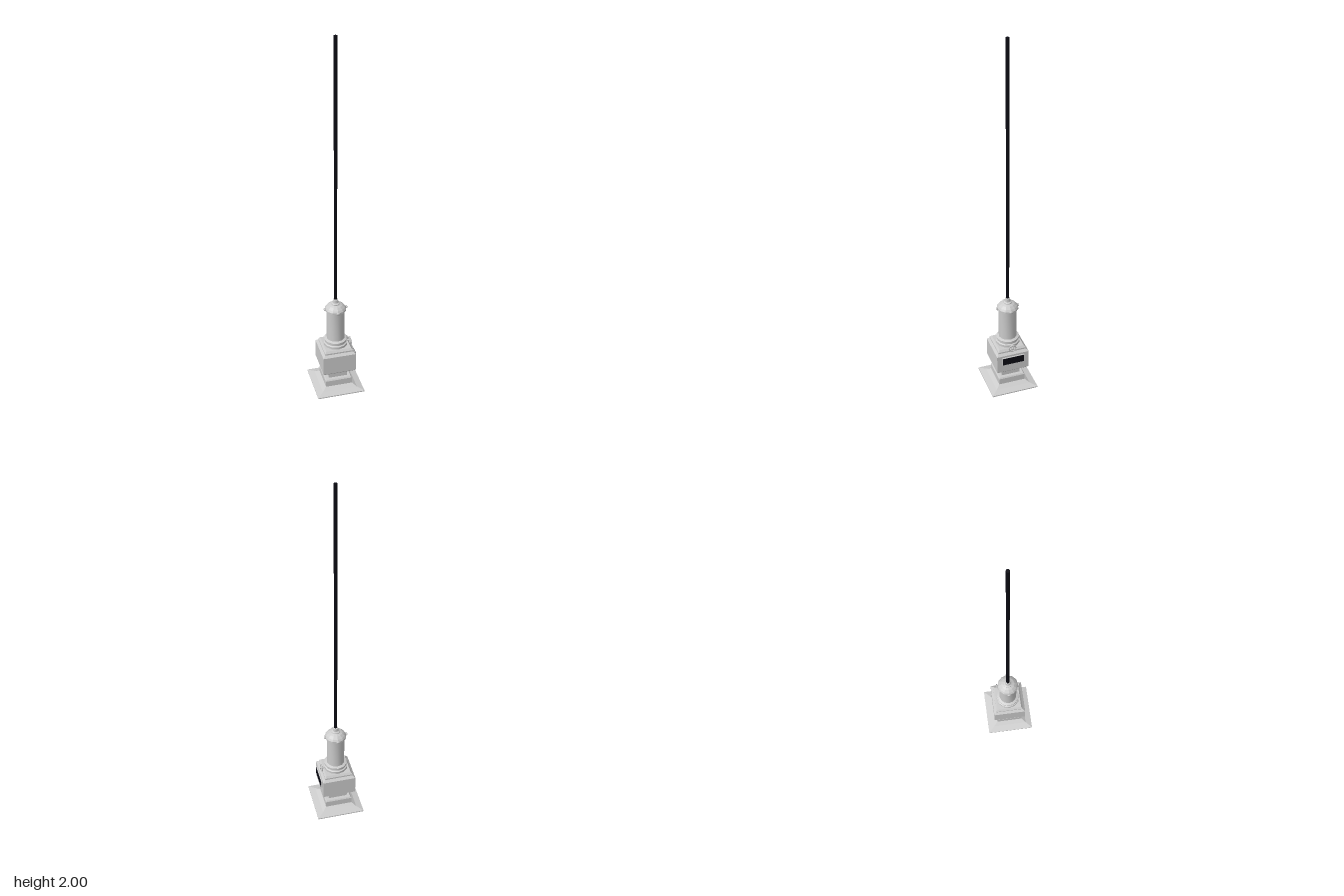
import * as THREE from 'three';
import { toCreasedNormals } from 'three/addons/utils/BufferGeometryUtils.js';

const grey = new THREE.MeshStandardMaterial({ color: 0xcccccc });
const flatGrey = new THREE.MeshStandardMaterial({ color: 0xcccccc, flatShading: true });
const black = new THREE.MeshStandardMaterial({ color: 0x0a0a12 });

export function createModel() {
  const model = new THREE.Group();

  function add(name, geometry, material = grey, x = 0, y = 0, z = 0, parent = model) {
    const mesh = new THREE.Mesh(geometry, material);
    mesh.name = name;
    mesh.position.set(x, y, z);
    parent.add(mesh);
    return mesh;
  }

  // Revolved profile of [radius, height] points
  const turned = (profile, sides) =>
    new THREE.LatheGeometry(profile.map(([r, y]) => new THREE.Vector2(r, y)), sides);

  // Square section through [half width, height] points
  const square = (profile) =>
    turned(profile.map(([h, y]) => [h * Math.SQRT2, y]), 4).rotateY(Math.PI / 4);

  // Sloped foot, plinth and neck
  add('foot', square([[0, 0], [0.133, 0], [0.133, 0.006], [0.098, 0.015], [0.075, 0.03], [0, 0.03]]), flatGrey);
  add('plinth', square([[0.075, 0.028], [0.075, 0.065], [0.07, 0.072], [0, 0.072]]), flatGrey);
  add('neck', square([[0.053, 0.07], [0.053, 0.106], [0.066, 0.114], [0.066, 0.122]]), flatGrey);

  // Square housing with bevelled edges and stepped lid
  add('housing', square([[0, 0.118], [0.08, 0.118], [0.092, 0.13], [0.092, 0.236], [0.079, 0.248], [0, 0.248]]), flatGrey);
  add('housingLid', square([[0.079, 0.246], [0.079, 0.256], [0.07, 0.267], [0, 0.267]]), flatGrey);

  // Window on the left side
  add('windowFrame', new THREE.BoxGeometry(0.01, 0.046, 0.128), grey, 0.094, 0.202, 0);
  add('windowPane', new THREE.BoxGeometry(0.004, 0.042, 0.124), black, 0.0985, 0.202, 0);

  // Round flange and column
  add('column', toCreasedNormals(turned([
    [0, 0.265], [0.067, 0.265], [0.067, 0.28], [0.06, 0.284], [0.06, 0.292],
    [0.064, 0.295], [0.064, 0.303], [0.05, 0.308], [0.05, 0.49],
  ], 12), 0.6));

  // Faceted domed cap with its rod socket
  add('cap', turned([
    [0.048, 0.484], [0.059, 0.488], [0.059, 0.498], [0.052, 0.508], [0.038, 0.52], [0.024, 0.526], [0, 0.527],
  ], 12), flatGrey);
  add('socket', toCreasedNormals(turned([
    [0.024, 0.524], [0.024, 0.53], [0.016, 0.535], [0.014, 0.553], [0.009, 0.556],
  ], 12), 0.6));

  // Four rounded lugs around the cap
  for (let i = 0; i < 4; i++) {
    const a = i * Math.PI / 2;
    const lug = add('capLug', new THREE.SphereGeometry(1, 10, 6), grey, Math.sin(a) * 0.061, 0.496, Math.cos(a) * 0.061);
    lug.scale.set(0.011, 0.008, 0.005);
    lug.rotation.y = a;
  }

  // Valve with stem, spokes and handwheel
  const valve = new THREE.Group();
  valve.name = 'valve';
  valve.position.y = 0.27;
  model.add(valve);
  add('valveStem', new THREE.CylinderGeometry(0.005, 0.005, 0.032, 8).rotateZ(Math.PI / 2), grey, 0.074, 0, 0, valve);
  add('handwheel', new THREE.TorusGeometry(0.019, 0.0037, 6, 16).rotateY(Math.PI / 2), grey, 0.082, 0, 0, valve);
  for (let i = 0; i < 2; i++) {
    const spoke = add('handwheelSpoke', new THREE.BoxGeometry(0.004, 0.038, 0.004), grey, 0.082, 0, 0, valve);
    spoke.rotation.x = Math.PI / 4 + i * Math.PI / 2;
  }

  // Tall dark rod
  add('rod', new THREE.CylinderGeometry(0.009, 0.009, 1.456, 12), black, 0, 1.272, 0);

  return model;
}
